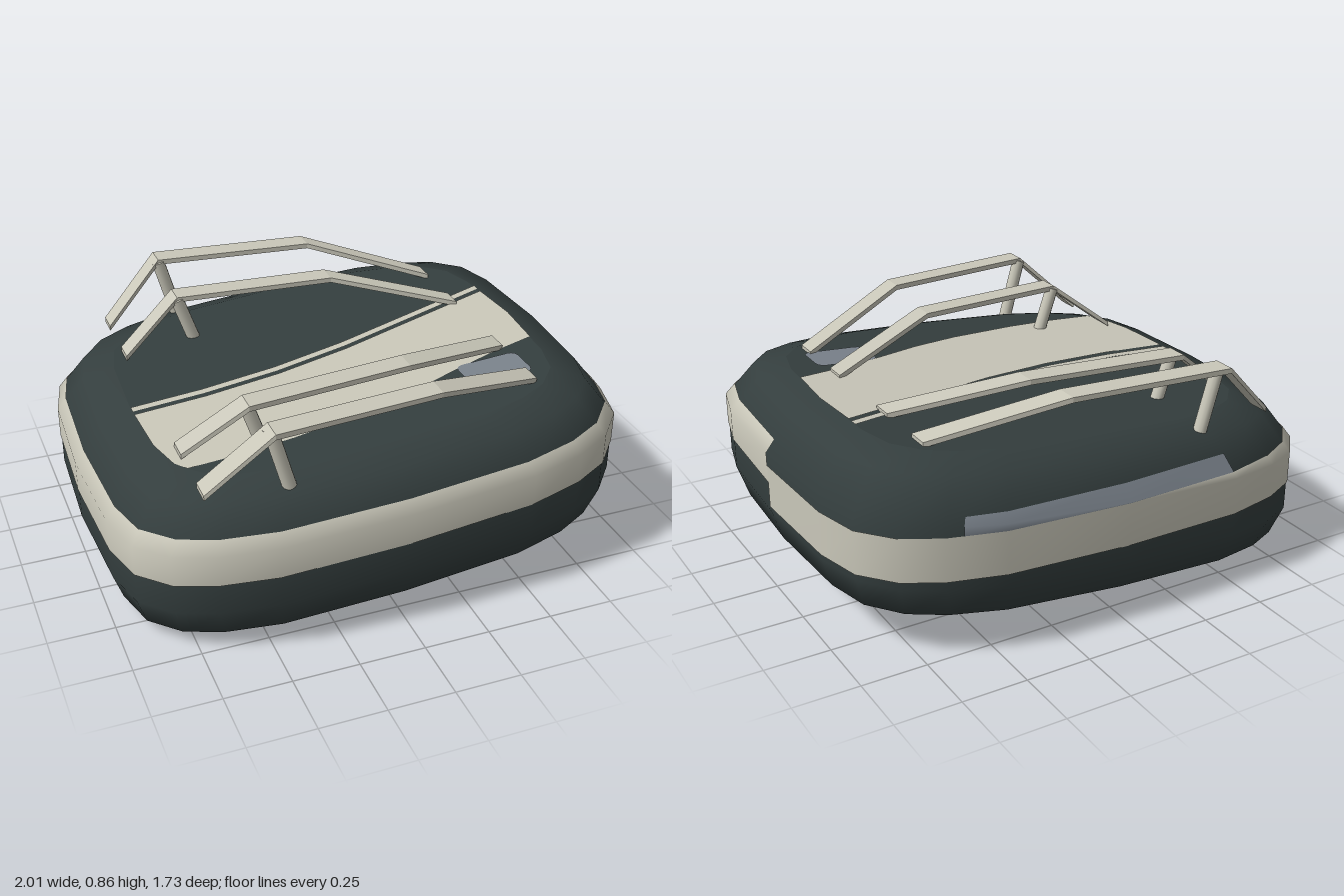
import * as THREE from 'three';
import { mergeVertices } from 'three/addons/utils/BufferGeometryUtils.js';

const material = (name, color, side = THREE.FrontSide) => {
  const m = new THREE.MeshStandardMaterial({ color, side });
  m.name = name;
  return m;
};

// Rounded-square outline, counted from +x through +z, -x and -z
const quarter = [[1, 0], [0.98, 0.42], [0.935, 0.6], [0.83, 0.72], [0.69, 0.79], [0.48, 0.84], [0, 0.86]];
const half = [...quarter, ...quarter.slice(0, 6).reverse().map(([x, z]) => [-x, z])];
const outline = [...half, ...half.slice(0, 12).reverse().map(([x, z]) => [x, -z])];

// Side profile: height from the middle, scale in x, scale in z
const profile = [
  [-0.3, 0.79, 0.77], [-0.24, 0.96, 0.95], [-0.12, 1, 1],
  [0.12, 1, 1], [0.262, 0.895, 0.895], [0.3, 0.78, 0.77],
];
const lerp = THREE.MathUtils.lerp;
const tilt = (x, h) => 0.36 + 0.075 * x + h;

// Point on the body: u counts outline columns, h is the height from the middle
function surface(u, h, out = 0) {
  const i = Math.min(Math.floor(u), outline.length - 2);
  const x = lerp(outline[i][0], outline[i + 1][0], u - i);
  const z = lerp(outline[i][1], outline[i + 1][1], u - i);
  let k = 0;
  while (k < profile.length - 2 && h > profile[k + 1][0]) k++;
  const [a, b] = [profile[k], profile[k + 1]];
  const t = (h - a[0]) / (b[0] - a[0]);
  const px = x * (lerp(a[1], b[1], t) + out);
  return [px, tilt(px, h), z * (lerp(a[2], b[2], t) + out)];
}

// Skin over the given columns, with a list of heights for each
function skin(columns, heightsAt, out) {
  const pos = [], index = [];
  let rows = 0;
  columns.forEach((u) => {
    const hs = heightsAt(u);
    rows = hs.length;
    hs.forEach((h) => pos.push(...surface(u, h, out)));
  });
  for (let i = 0; i < columns.length - 1; i++) {
    for (let j = 0; j < rows - 1; j++) {
      const a = i * rows + j, c = a + rows;
      index.push(a, a + 1, c, a + 1, c + 1, c);
    }
  }
  let g = new THREE.BufferGeometry();
  g.setAttribute('position', new THREE.Float32BufferAttribute(pos, 3));
  g.setIndex(index);
  g = mergeVertices(g);
  g.computeVertexNormals();
  return g;
}

// Flat plate on the sloping top (side 1) or underside (side -1), from [x, z] points
function plate(points, side, lift) {
  const shape = new THREE.Shape(points.map(([x, z]) => new THREE.Vector2(x, -side * z)));
  const g = new THREE.ShapeGeometry(shape);
  g.rotateX((-side * Math.PI) / 2);
  const p = g.attributes.position;
  for (let i = 0; i < p.count; i++) p.setY(i, tilt(p.getX(i), side * (0.3 + lift)));
  g.computeVertexNormals();
  return g;
}

// Flat bar with a rectangular section swept along [x, y, z] points
function bar(path, width, thick) {
  const pos = [];
  const corner = ([x, y, z], k) => [x, y + (k < 2 ? 0 : -thick), z + (k === 0 || k === 3 ? -width / 2 : width / 2)];
  const quad = (a, b, c, d) => pos.push(...a, ...b, ...c, ...a, ...c, ...d);
  for (let i = 0; i < path.length - 1; i++) {
    for (let k = 0; k < 4; k++) {
      const n = (k + 1) % 4;
      quad(corner(path[i], k), corner(path[i], n), corner(path[i + 1], n), corner(path[i + 1], k));
    }
  }
  const end = path[path.length - 1];
  quad(...[3, 2, 1, 0].map((k) => corner(path[0], k)));
  quad(...[0, 1, 2, 3].map((k) => corner(end, k)));
  const g = new THREE.BufferGeometry();
  g.setAttribute('position', new THREE.Float32BufferAttribute(pos, 3));
  g.computeVertexNormals();
  return g;
}

export function createModel() {
  const model = new THREE.Group();
  const dark = material('dark slate', 0x343e3e);
  const cream = material('cream', 0xc9c7b9, THREE.DoubleSide);
  const glass = material('grey blue', 0x7a828b);
  const add = (name, geometry, mat, parent = model) => {
    const mesh = new THREE.Mesh(geometry, mat);
    mesh.name = name;
    parent.add(mesh);
    return mesh;
  };

  // Body shell
  const all = outline.map((_, i) => i);
  add('bodySide', skin(all, () => profile.map((p) => p[0]), 0), dark);

  // Side band: level with the body in front, sinking along the back
  const bandBase = (u) => (u <= 12 ? 0 : -0.05 * (surface(u, 0)[0] + 1));
  const span = (a, b) => [a, THREE.MathUtils.clamp(0.12, a, b), b];
  add('sideBand', skin(all, (u) => span(bandBase(u), bandBase(u) + 0.168), 0.004), cream);

  // Rear window strip above the band
  add('rearWindow', skin([17, 18, 19, 19.7],
    (u) => span(bandBase(u) + 0.168, bandBase(u) + 0.23), 0.005), glass);

  // Curved panel, its pinstripe and a small window, on top and underneath
  const edge = [[-0.78, 0.065], [-0.5, 0.06], [-0.2, 0.03], [0.1, -0.03], [0.4, -0.115], [0.63, -0.18], [0.77, -0.22]];
  const panel = [...edge, [0.785, 0], [0.77, 0.22], [0.6, 0.26], [0.4, 0.32], [0.2, 0.39], [0, 0.44],
    [-0.3, 0.485], [-0.5, 0.5], [-0.7, 0.5], [-0.735, 0.45], [-0.77, 0.3]];
  const shifted = (d) => edge.map(([x, z]) => [x, z + d]);
  const stripe = [...shifted(-0.055), ...shifted(-0.022).reverse()];
  const windowPoints = [];
  for (const [cx, cz, start] of [[0.63, 0.43, 0], [0.44, 0.43, 1], [0.44, 0.33, 2], [0.63, 0.33, 3]]) {
    for (let i = 0; i <= 3; i++) {
      const a = ((start + i / 3) * Math.PI) / 2;
      windowPoints.push([cx + 0.03 * Math.cos(a), cz + 0.03 * Math.sin(a)]);
    }
  }
  const rim = outline.slice(0, -1);
  for (const [side, label, s] of [[1, 'top', profile[5]], [-1, 'bottom', profile[0]]]) {
    add(label + 'Deck', plate(rim.map(([x, z]) => [x * s[1], z * s[2]]), side, 0), dark);
    add(label + 'Panel', plate(panel, side, 0.004), cream);
    add(label + 'Stripe', plate(stripe, side, 0.004), cream);
    add(label + 'Window', plate(windowPoints, side, 0.006), glass);
  }

  // Two bent rails with a strut on each side
  for (const m of [1, -1]) {
    for (const [label, dz, drop] of [['outer', 0, 0], ['inner', -0.28, 0.045]]) {
      const rail = new THREE.Group();
      rail.name = label + (m > 0 ? 'FrontRail' : 'BackRail');
      const path = [[-0.705, 0.63, 0.67], [-0.47, 0.858 - drop, 0.74], [0.16, 0.858 - drop * 0.8, 0.68], [0.635, 0.722, 0.485]]
        .map(([x, y, z]) => [x, y, m * (z + dz)]);
      add('railBar', bar(path, 0.088, 0.02), cream, rail);
      const z = m * (0.71 + dz);
      const low = new THREE.Vector3(-0.4, 0.6, z), high = new THREE.Vector3(-0.468, 0.845 - drop, z);
      const dir = high.clone().sub(low);
      const strut = add('strut', new THREE.CylinderGeometry(0.026, 0.026, dir.length(), 12), cream, rail);
      strut.position.copy(low).addScaledVector(dir, 0.5);
      strut.quaternion.setFromUnitVectors(new THREE.Vector3(0, 1, 0), dir.normalize());
      model.add(rail);
    }
  }
  return model;
}
